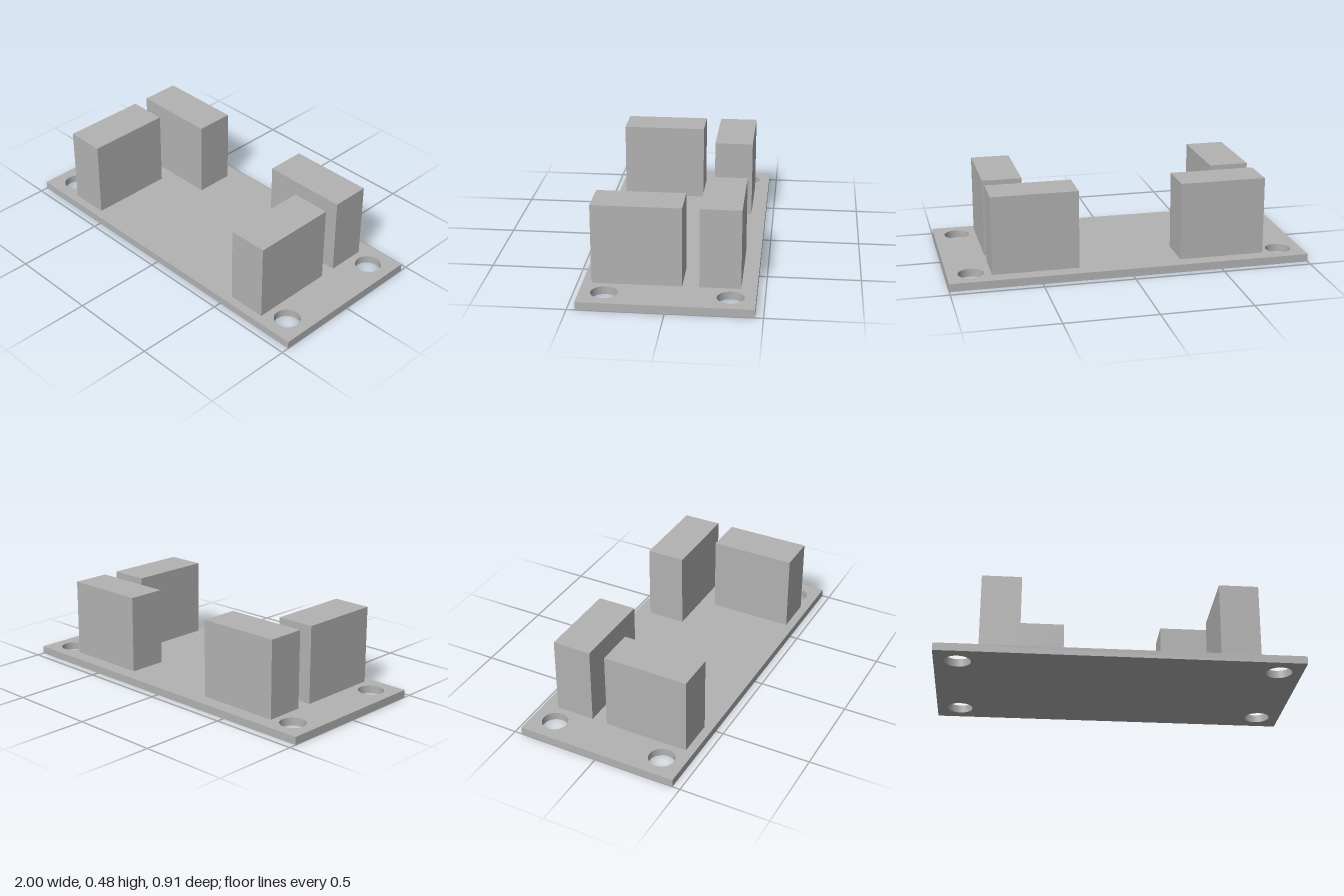
import * as THREE from 'three';

const PLATE = { halfX: 1, halfZ: 0.457, thickness: 0.044 };
const HOLE = { x: 0.87, z: 0.326, radius: 0.071 };
const TOP = 0.479;

// Flat base plate with a round mounting hole in each corner
function plateGeometry() {
  const { halfX, halfZ, thickness } = PLATE;
  const shape = new THREE.Shape([
    new THREE.Vector2(-halfX, -halfZ),
    new THREE.Vector2(halfX, -halfZ),
    new THREE.Vector2(halfX, halfZ),
    new THREE.Vector2(-halfX, halfZ),
  ]);
  for (const sx of [-1, 1]) {
    for (const sz of [-1, 1]) {
      shape.holes.push(new THREE.Path().absarc(sx * HOLE.x, sz * HOLE.z, HOLE.radius, 0, Math.PI * 2, true));
    }
  }
  return new THREE.ExtrudeGeometry(shape, { depth: thickness, bevelEnabled: false, curveSegments: 24 })
    .rotateX(-Math.PI / 2);
}

export function createModel() {
  const model = new THREE.Group();
  model.name = 'cornerBlockBracket';
  const grey = new THREE.MeshStandardMaterial({ color: 0xb2b2b2 });
  grey.name = 'grey';

  const add = (name, geometry) => {
    const mesh = new THREE.Mesh(geometry, grey);
    mesh.name = name;
    model.add(mesh);
    return mesh;
  };

  add('basePlate', plateGeometry());

  // Upright blocks, mirrored left and right
  const height = TOP - PLATE.thickness;
  const blocks = [
    { name: 'FrontBlock', x: [0.542, 0.761], z: [-0.067, 0.41] },
    { name: 'BackBlock', x: [0.284, 0.761], z: [-0.374, -0.156] },
  ];
  for (const { name, x, z } of blocks) {
    for (const [side, s] of [['left', 1], ['right', -1]]) {
      add(side + name, new THREE.BoxGeometry(x[1] - x[0], height, z[1] - z[0]))
        .position.set(s * (x[0] + x[1]) / 2, PLATE.thickness + height / 2, (z[0] + z[1]) / 2);
    }
  }
  return model;
}
